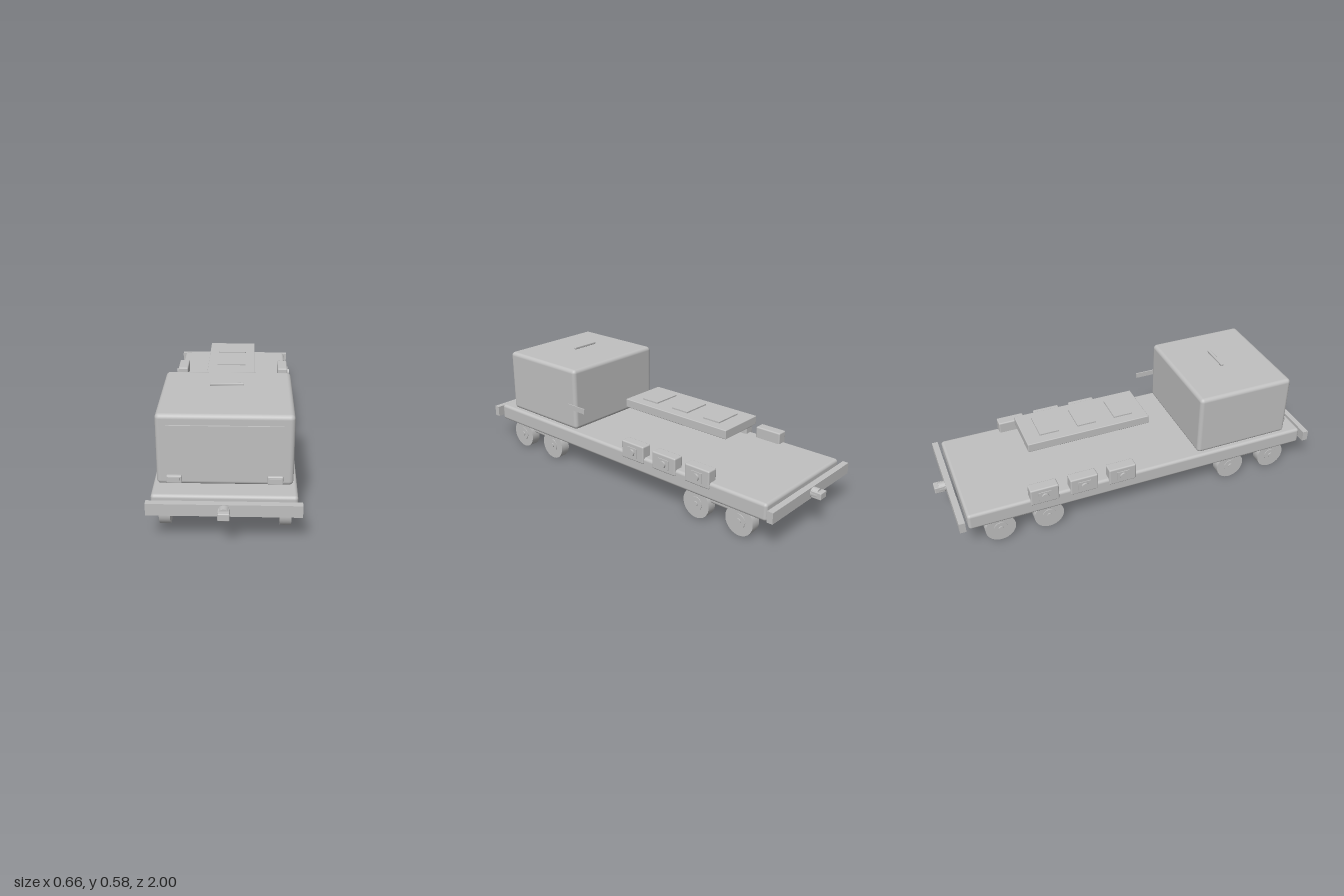
import * as THREE from 'three';
import { RoundedBoxGeometry } from 'three/addons/geometries/RoundedBoxGeometry.js';

export function createModel() {
  const root = new THREE.Group();
  root.name = 'railFlatcar';
  const grey = new THREE.MeshStandardMaterial({ color: 0xc0c0c0 });
  grey.name = 'plain grey';

  const add = (name, geo, x, y, z) => {
    const m = new THREE.Mesh(geo, grey);
    m.name = name;
    m.position.set(x, y, z);
    root.add(m);
    return m;
  };
  // box given by its size and centre; r rounds the edges
  const box = (name, w, h, d, x, y, z, r = 0) => add(name,
    r ? new RoundedBoxGeometry(w, h, d, 3, r) : new THREE.BoxGeometry(w, h, d), x, y, z);
  // cylinder lying along x or z
  const rod = (name, axis, r, len, x, y, z, seg = 32) => {
    const geo = new THREE.CylinderGeometry(r, r, len, seg);
    if (axis === 'x') geo.rotateZ(Math.PI / 2);
    else geo.rotateX(Math.PI / 2);
    return add(name, geo, x, y, z);
  };

  // deck and cab
  box('deck', 0.62, 0.086, 1.8, 0, 0.175, 0, 0.015);
  box('cab', 0.586, 0.327, 0.51, 0, 0.3825, 0.555, 0.02);
  box('windshield', 0.494, 0.163, 0.009, 0, 0.419, 0.813);
  box('roofBar', 0.152, 0.012, 0.016, 0, 0.573, 0.527, 0.003);
  box('sideMarker', 0.005, 0.028, 0.12, 0.311, 0.352, 0.273);

  // headlights
  for (const s of [-1, 1]) {
    box('headlightHousing', 0.066, 0.036, 0.016, s * 0.214, 0.26, 0.833, 0.005);
    box('headlightLens', 0.049, 0.021, 0.008, s * 0.214, 0.26, 0.84);
  }

  // raised panel with three pads
  box('equipmentPanel', 0.25, 0.045, 0.635, 0, 0.378, -0.222, 0.004);
  for (const z of [-0.025, -0.22, -0.415]) box('panelPad', 0.15, 0.009, 0.097, 0, 0.403, z);

  // side boxes along both deck edges
  for (const s of [-1, 1]) {
    for (const z of [-0.123, -0.323, -0.523]) {
      box('sideBox', 0.056, 0.09, 0.142, s * 0.288, 0.231, z, 0.007);
      box('sideBoxPlate', 0.008, 0.05, 0.064, s * 0.316, 0.23, z);
      rod('sideBoxKnob', 'x', 0.018, 0.016, s * 0.321, 0.23, z, 16);
    }
  }

  // both ends: beam, coupler and wheel truck
  for (const e of [-1, 1]) {
    box('endBeam', 0.656, 0.055, 0.03, 0, 0.175, e * 0.93);
    rod('couplerShank', 'z', 0.026, 0.045, 0, 0.175, e * 0.955);
    box('couplerHead', 0.05, 0.034, 0.05, 0, 0.175, e * 0.975, 0.004);
    box('truckFrame', 0.536, 0.06, 0.38, 0, 0.12, e * 0.625, 0.014);
    for (const s of [-1, 1]) {
      for (const z of [0.502, 0.747]) {
        rod('wheel', 'x', 0.075, 0.049, s * 0.264, 0.075, e * z, 40);
        rod('wheelHub', 'x', 0.035, 0.01, s * 0.287, 0.075, e * z);
        rod('axleCap', 'x', 0.013, 0.012, s * 0.291, 0.075, e * z, 16);
      }
    }
  }
  return root;
}
